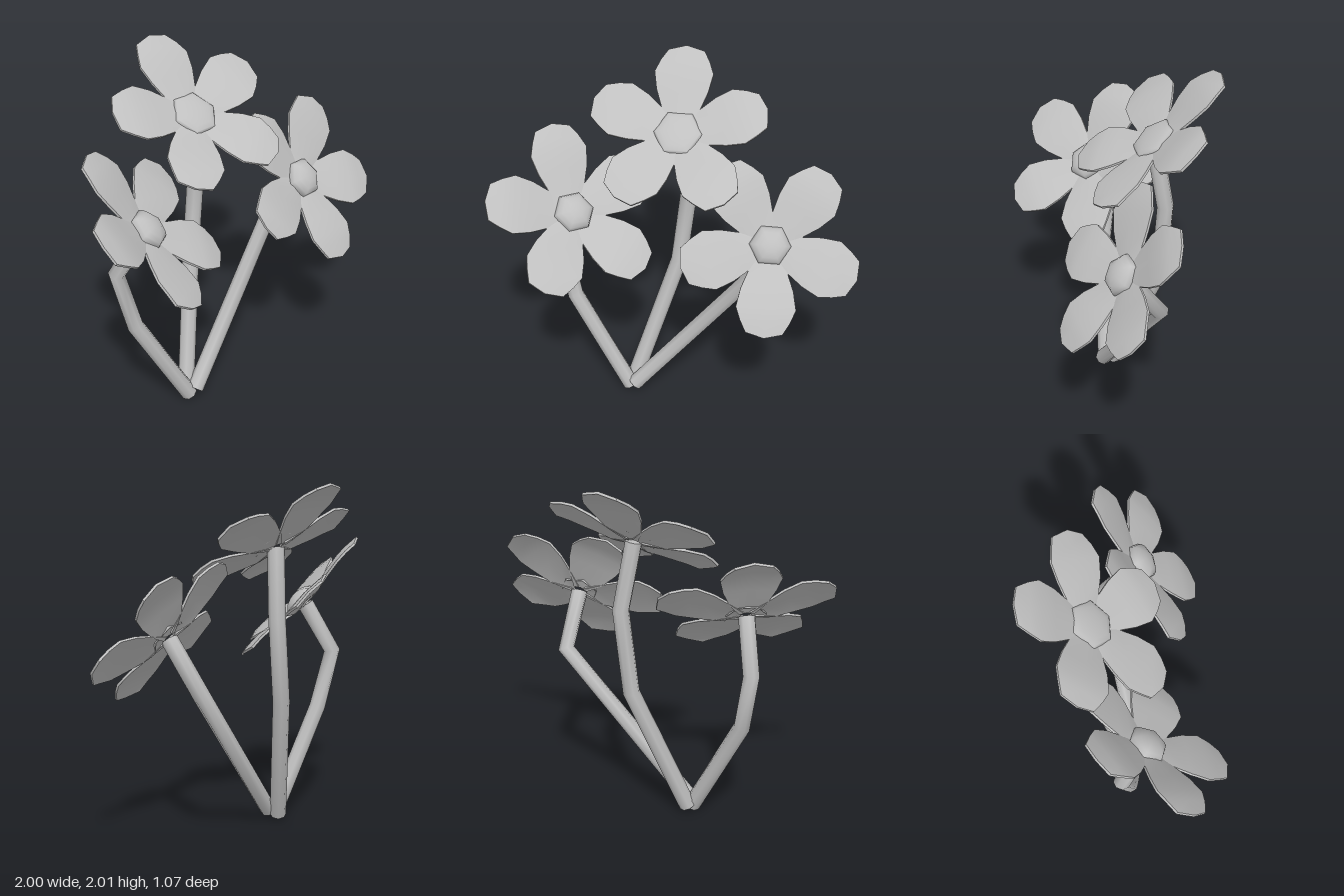
import * as THREE from 'three';

const grey = new THREE.MeshStandardMaterial({ color: 0xc0c0c0 });
grey.name = 'light grey';

const UP = new THREE.Vector3(0, 1, 0);
const vec = (a) => new THREE.Vector3(...a);

function part(name, geometry) {
  const mesh = new THREE.Mesh(geometry, grey);
  mesh.name = name;
  return mesh;
}

// Bent stem: a cylinder whose rings follow a few points, mitred at each bend
function stemGeometry(points, radius = 0.048) {
  const n = points.length - 1;
  const geo = new THREE.CylinderGeometry(radius, radius, 1, 8, n);
  const frames = points.map((p, i) => {
    const before = i > 0 ? p.clone().sub(points[i - 1]).normalize() : new THREE.Vector3();
    const after = i < n ? points[i + 1].clone().sub(p).normalize() : new THREE.Vector3();
    return new THREE.Quaternion().setFromUnitVectors(UP, before.add(after).normalize());
  });
  const pos = geo.attributes.position;
  const normal = geo.attributes.normal;
  const v = new THREE.Vector3();
  for (let i = 0; i < pos.count; i++) {
    v.fromBufferAttribute(pos, i);
    const k = Math.round((v.y + 0.5) * n);
    v.setY(0).applyQuaternion(frames[k]).add(points[k]);
    pos.setXYZ(i, v.x, v.y, v.z);
    v.fromBufferAttribute(normal, i).applyQuaternion(frames[k]);
    normal.setXYZ(i, v.x, v.y, v.z);
  }
  return geo;
}

// Petal rows: distance from centre, half width, lift along the flower axis
const rows = [
  [0.03, 0.04, 0], [0.13, 0.1, 0.012], [0.24, 0.142, 0.038],
  [0.34, 0.162, 0.055], [0.41, 0.135, 0.058], [0.475, 0.1, 0.053],
];

// Thin plate shaped row by row: cupped upward, with the tip levelling off
function petalGeometry() {
  const n = rows.length - 1;
  const geo = new THREE.BoxGeometry(1, 1, 0.014, 2, n, 1);
  const pos = geo.attributes.position;
  for (let i = 0; i < pos.count; i++) {
    const k = Math.round((pos.getY(i) + 0.5) * n);
    const [r, w, lift] = rows[k];
    const s = pos.getX(i) * 2;
    const point = k === n ? 0.025 * (1 - Math.abs(s)) : 0;
    pos.setXYZ(i, s * w, r + point, pos.getZ(i) + lift - 0.01 * Math.abs(s));
  }
  geo.computeVertexNormals();
  return geo;
}

// Flower facing along its normal, with the first petal pointing along "first"
function flower(name, { centre, normal, first, domeRadius, domeHeight }, petalGeo) {
  const group = new THREE.Group();
  group.name = name;
  const z = vec(normal).normalize();
  const x = vec(first).cross(z).normalize();
  const y = z.clone().cross(x);
  group.quaternion.setFromRotationMatrix(new THREE.Matrix4().makeBasis(x, y, z));
  group.position.copy(vec(centre));

  for (let i = 0; i < 5; i++) {
    const petal = part('petal', petalGeo);
    petal.rotation.z = (i * Math.PI * 2) / 5;
    group.add(petal);
  }

  // Six-sided domed centre
  const domeGeo = new THREE.SphereGeometry(domeRadius, 6, 5, 0, Math.PI * 2, 0, Math.PI * 0.6);
  domeGeo.rotateX(Math.PI / 2);
  domeGeo.scale(1, 1, domeHeight / domeRadius);
  const dome = part('flowerCentre', domeGeo);
  dome.position.z = 0.01;
  group.add(dome);
  return group;
}

const plants = [
  {
    name: 'middle', centre: [-0.03, 1.67, -0.14], normal: [0, 0.8, 0.61],
    first: [-0.02, 0.61, -0.8], domeRadius: 0.135, domeHeight: 0.03,
    stem: [[-0.27, 0.04, 0.05], [-0.03, 0.8, -0.18], [0.025, 1.28, -0.195], [-0.025, 1.66, -0.14]],
  },
  {
    name: 'right', centre: [-0.57, 1.27, 0.12], normal: [0.43, 0.7, 0.56],
    first: [-0.38, 0.7, -0.59], domeRadius: 0.115, domeHeight: 0.065,
    stem: [[-0.28, 0.03, 0.09], [-0.61, 0.64, 0.035], [-0.68, 0.98, -0.015], [-0.58, 1.26, 0.11]],
  },
  {
    name: 'left', centre: [0.52, 1.2, 0.15], normal: [0.16, 0.58, 0.81],
    first: [0.01, -0.4, 0.29], domeRadius: 0.115, domeHeight: 0.065,
    stem: [[-0.25, 0.06, 0.11], [0.48, 0.91, -0.06], [0.515, 1.19, 0.14]],
  },
];

export function createModel() {
  const model = new THREE.Group();
  model.name = 'threeFlowers';
  const petalGeo = petalGeometry();
  for (const plant of plants) {
    model.add(part(plant.name + 'Stem', stemGeometry(plant.stem.map(vec))));
    model.add(flower(plant.name + 'Flower', plant, petalGeo));
  }
  return model;
}
